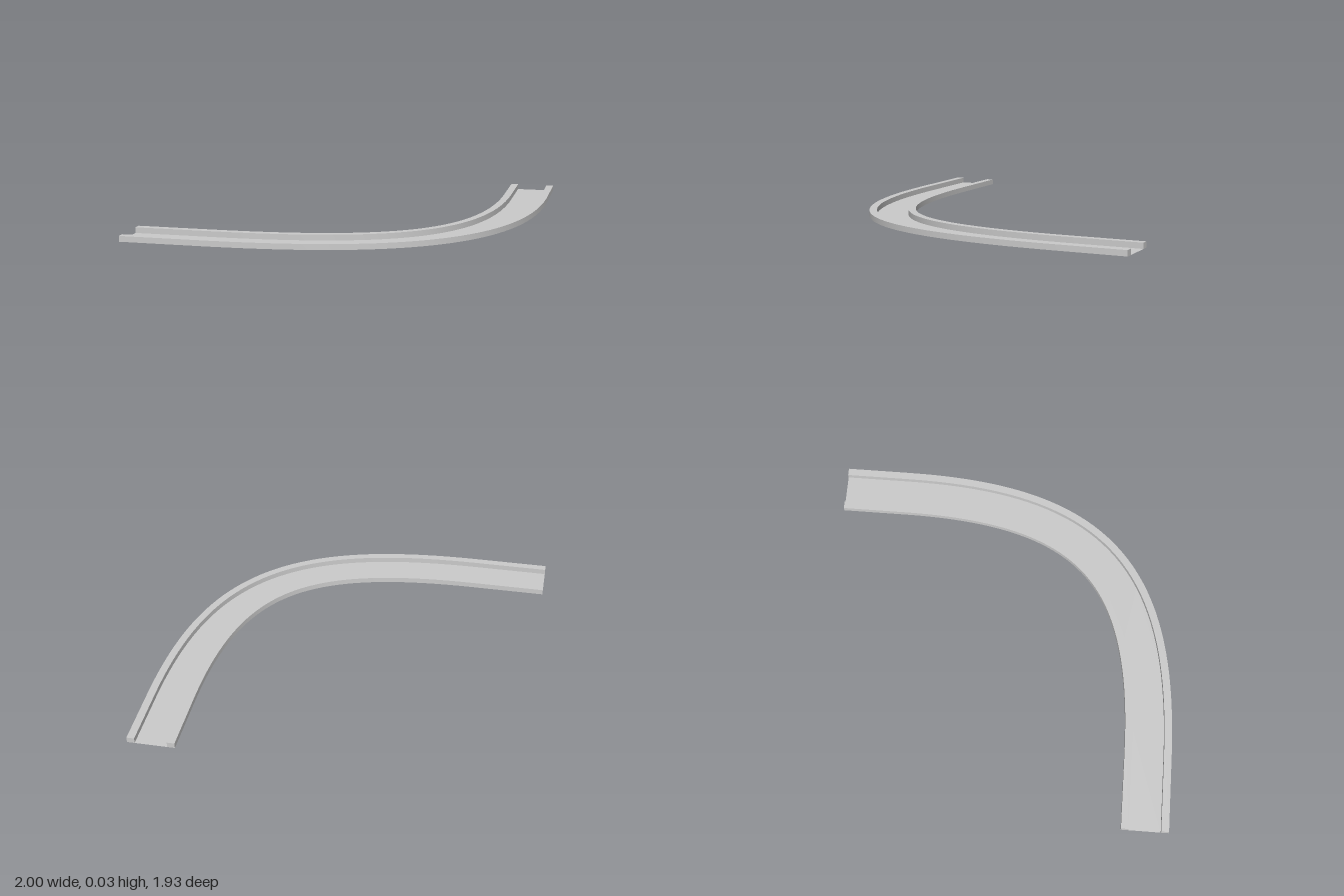
import * as THREE from 'three';
import { toCreasedNormals } from 'three/addons/utils/BufferGeometryUtils.js';

const HALF_WIDTH = 0.127, CURB_WIDTH = 0.041, CURB_HEIGHT = 0.03;
const SEGMENTS = 40;

// Centre line in plan, as (x, -z): straight, bend, straight
const X = 0.873, Z = 0.84, START = -0.58, END = -0.61, HANDLE = 1.067;
const bend = new THREE.CubicBezierCurve(
  new THREE.Vector2(START, -Z),
  new THREE.Vector2(START + HANDLE, -Z),
  new THREE.Vector2(X, -(END + HANDLE)),
  new THREE.Vector2(X, -END)
);

// Line running beside the centre line; positive offsets lie on the inside of the bend
function offsetLine(offset) {
  const points = [new THREE.Vector2(-1, -Z + offset)];
  for (let i = 0; i <= SEGMENTS; i++) {
    const t = i / SEGMENTS;
    const p = bend.getPoint(t), d = bend.getTangent(t);
    points.push(new THREE.Vector2(p.x - d.y * offset, p.y + d.x * offset));
  }
  points.push(new THREE.Vector2(X - offset, 0.967));
  return points;
}

// Plan of a strip between two offsets
function stripShape(outer, inner) {
  return new THREE.Shape([...offsetLine(outer), ...offsetLine(inner).reverse()]);
}

export function createModel() {
  const group = new THREE.Group();
  group.name = 'curvedRoad';
  const material = new THREE.MeshStandardMaterial({ color: 0xcccccc });
  const thinMaterial = new THREE.MeshStandardMaterial({ color: 0xcccccc, side: THREE.DoubleSide });
  const curbEdge = HALF_WIDTH - CURB_WIDTH;

  // Thin road surface between the curbs
  const surface = new THREE.Mesh(
    new THREE.ShapeGeometry(stripShape(-curbEdge, curbEdge)).rotateX(-Math.PI / 2),
    thinMaterial
  );
  surface.name = 'roadSurface';
  group.add(surface);

  // Raised curbs along both sides
  const curbs = [
    ['outerCurb', -HALF_WIDTH, -curbEdge],
    ['innerCurb', curbEdge, HALF_WIDTH],
  ];
  for (const [name, outer, inner] of curbs) {
    const geometry = new THREE.ExtrudeGeometry(stripShape(outer, inner), {
      depth: CURB_HEIGHT,
      bevelEnabled: false,
    }).rotateX(-Math.PI / 2);
    const curb = new THREE.Mesh(toCreasedNormals(geometry, Math.PI / 6), material);
    curb.name = name;
    group.add(curb);
  }
  return group;
}
